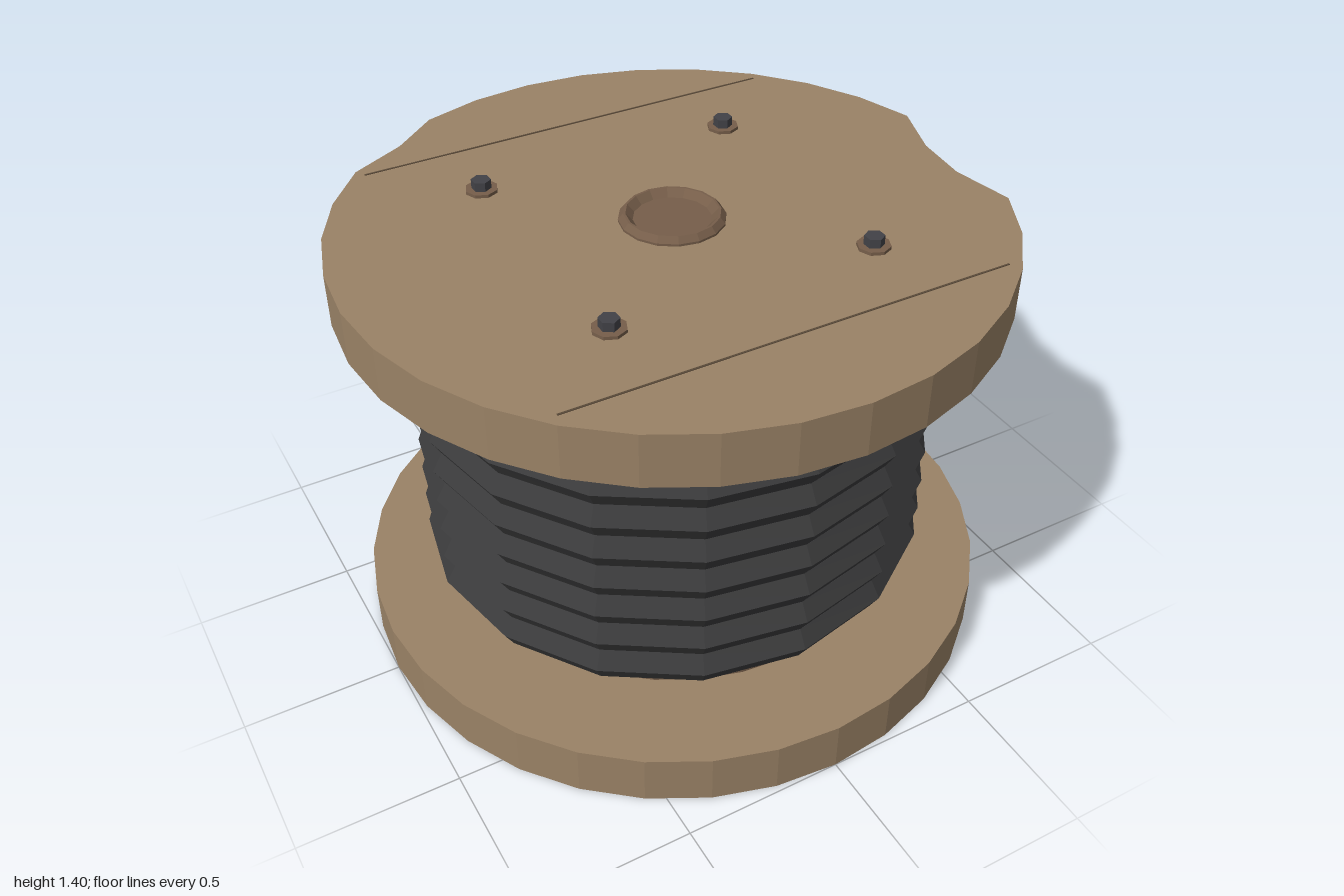
import * as THREE from 'three';

const material = (name, color, extra = {}) => {
  const m = new THREE.MeshStandardMaterial({ color, ...extra });
  m.name = name;
  return m;
};

// Unshared vertices give every facet its own normal.
function faceted(geometry) {
  const g = geometry.index ? geometry.toNonIndexed() : geometry;
  g.computeVertexNormals();
  return g;
}

// Hexagonal cable wound as a rising helix, closed at both ends.
function cableGeometry({ turns, perTurn, radius, thickness, startY, pitch }) {
  const positions = [], index = [], sides = 6, rings = turns * perTurn;
  for (let i = 0; i <= rings; i++) {
    const t = i / perTurn * Math.PI * 2;
    for (let j = 0; j < sides; j++) {
      const a = j / sides * Math.PI * 2;
      const r = radius + thickness * Math.cos(a);
      positions.push(r * Math.cos(t), startY + pitch * i / perTurn + thickness * Math.sin(a), -r * Math.sin(t));
    }
  }
  for (let i = 0; i < rings; i++) {
    for (let j = 0; j < sides; j++) {
      const k = (j + 1) % sides, p = i * sides, q = p + sides;
      index.push(p + j, q + j, p + k, q + j, q + k, p + k);
    }
  }
  const last = rings * sides;
  for (let j = 1; j < sides - 1; j++) {
    index.push(0, j, j + 1, last, last + j + 1, last + j);
  }
  const g = new THREE.BufferGeometry();
  g.setAttribute('position', new THREE.Float32BufferAttribute(positions, 3));
  g.setIndex(index);
  return faceted(g);
}

// Round flange whose rim is chipped in two places.
function chippedFlangeGeometry(height) {
  const chips = { 0: [0.91, 0], 1: [0.89, 0.18], 21: [-0.53, -0.8] };
  const points = [];
  for (let i = 0; i < 32; i++) {
    const a = i / 32 * Math.PI * 2;
    const [x, z] = chips[i] ?? [Math.cos(a), Math.sin(a)];
    points.push(new THREE.Vector2(x, -z));
  }
  const g = new THREE.ExtrudeGeometry(new THREE.Shape(points), { depth: height, bevelEnabled: false });
  return g.rotateX(-Math.PI / 2);
}

export function createModel() {
  const model = new THREE.Group();
  model.name = 'cableSpool';

  const wood = material('wood', 0x9a8266);
  const darkWood = material('darkWood', 0x765e4a);
  const rubber = material('rubber', 0x3b3b3c);
  const steel = material('steel', 0x424247);
  const gap = material('gap', 0x5a4a39);

  const add = (name, geometry, mat, x = 0, y = 0, z = 0) => {
    const mesh = new THREE.Mesh(geometry, mat);
    mesh.name = name;
    mesh.position.set(x, y, z);
    model.add(mesh);
    return mesh;
  };
  const cylinder = (r, h, sides) => faceted(new THREE.CylinderGeometry(r, r, h, sides));

  // Flanges and drum
  const thick = 0.165, topY = 1.365;
  add('bottomFlange', cylinder(1, thick, 32), wood, 0, thick / 2, 0);
  add('topFlange', chippedFlangeGeometry(thick), wood, 0, topY - thick, 0);
  add('drum', cylinder(0.69, topY - 2 * thick, 32), darkWood, 0, topY / 2, 0);

  // Wound cable
  add('cable', cableGeometry({
    turns: 8, perTurn: 16, radius: 0.74, thickness: 0.065, startY: 0.23, pitch: 0.113,
  }), rubber);

  // Plank joints on the top flange
  for (const z of [-0.675, 0.67]) {
    add('plankJoint', new THREE.BoxGeometry(1.38, 0.002, 0.006), gap, 0, topY + 0.001, z);
  }

  // Bevelled collar with a shallow recess around the axle hole
  const collar = [[0.158, topY], [0.158, 1.372], [0.143, 1.39], [0.136, 1.39], [0.115, 1.368], [0, 1.368]]
    .map(([r, y]) => new THREE.Vector2(r, y));
  add('axleCollar', faceted(new THREE.LatheGeometry(collar, 16)), darkWood);

  // Bolts with washers
  for (const x of [-0.417, 0.417]) {
    for (const z of [-0.417, 0.413]) {
      add('washer', cylinder(0.05, 0.01, 8), darkWood, x, topY + 0.005, z);
      add('boltHead', cylinder(0.03, 0.028, 6), steel, x, topY + 0.024, z);
    }
  }
  return model;
}
